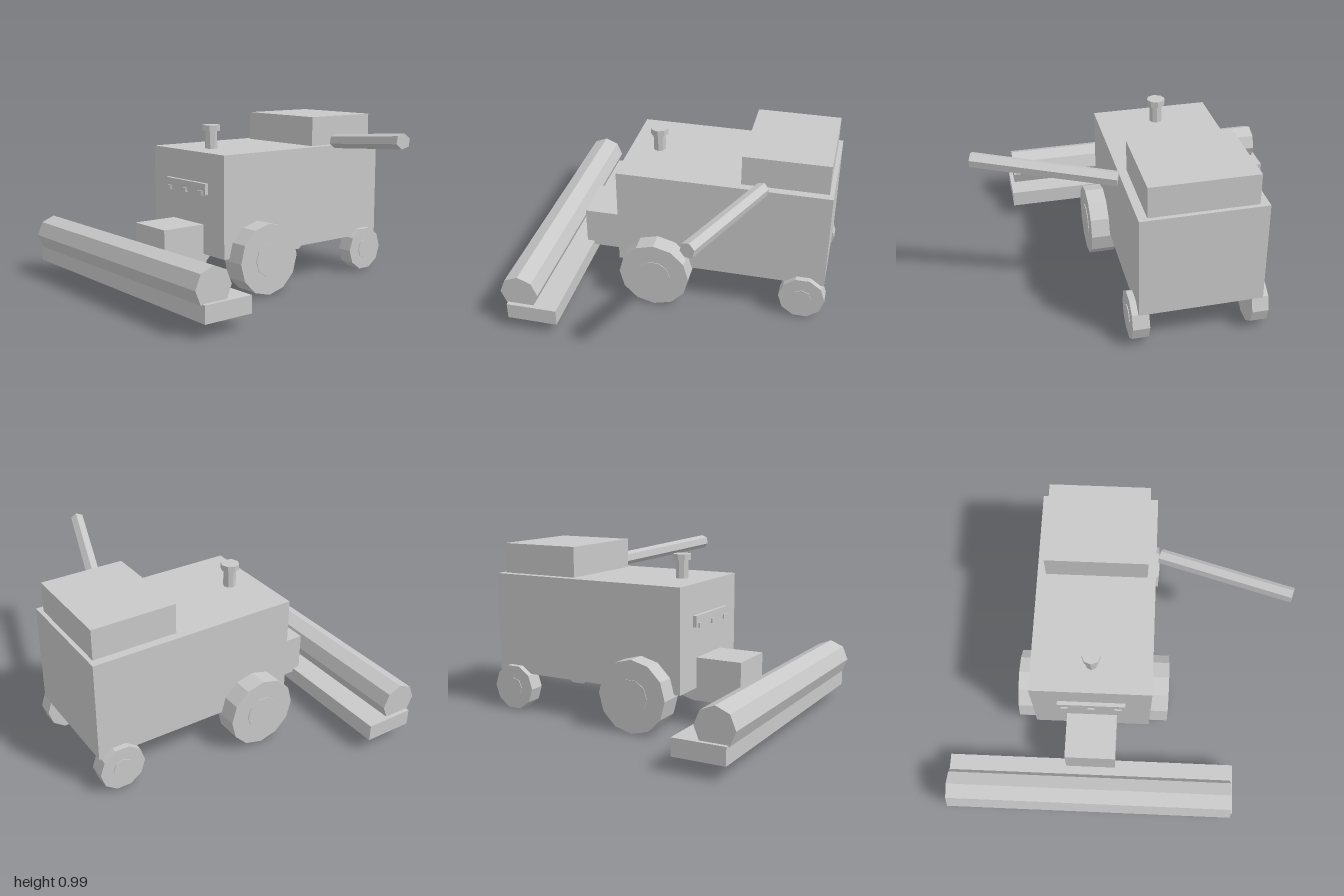
import * as THREE from 'three';

export function createModel() {
  const model = new THREE.Group();
  model.name = 'combineHarvester';
  const grey = new THREE.MeshStandardMaterial({ color: 0xc8c8c8 });
  grey.name = 'light grey';
  grey.flatShading = true;

  const add = (name, geometry, x = 0, y = 0, z = 0) => {
    const mesh = new THREE.Mesh(geometry, grey);
    mesh.name = name;
    mesh.position.set(x, y, z);
    model.add(mesh);
    return mesh;
  };

  // Box given by its limits on each axis
  const box = (name, [x0, x1], [y0, y1], [z0, z1]) =>
    add(name, new THREE.BoxGeometry(x1 - x0, y1 - y0, z1 - z0),
      (x0 + x1) / 2, (y0 + y1) / 2, (z0 + z1) / 2);

  // Faceted cylinder lying along x
  const roller = (name, radius, length, sides, x, y, z) =>
    add(name, new THREE.CylinderGeometry(radius, radius, length, sides).rotateZ(Math.PI / 2), x, y, z);

  const midX = -0.133;

  // Body and raised grain tank
  box('body', [-0.48, 0.214], [0.225, 0.82], [-0.895, 0.345]);
  box('grainTank', [-0.43, 0.165], [0.82, 0.997], [-0.87, -0.375]);

  // Exhaust pipe with cap
  add('exhaustPipe', new THREE.CylinderGeometry(0.037, 0.037, 0.11, 8), midX, 0.875, 0.172);
  add('exhaustCap', new THREE.CylinderGeometry(0.054, 0.054, 0.035, 8), midX, 0.943, 0.172);

  // Front light bar with three small lamps
  box('lightBar', [-0.33, 0.065], [0.58, 0.645], [0.34, 0.368]);
  for (const dx of [-0.157, 0, 0.157]) {
    box('lamp', [midX + dx - 0.02, midX + dx + 0.02], [0.577, 0.603], [0.36, 0.377]);
  }

  // Feeder, cutting table and reel
  box('feeder', [-0.284, 0.016], [0.152, 0.4], [0.325, 0.617]);
  box('cuttingTable', [-1, 0.735], [0.08, 0.177], [0.572, 0.868]);
  roller('reel', 0.112, 1.687, 8, midX, 0.25, 0.795);

  // Wheels and nearly flush hubs, mirrored about the body
  for (const side of [-1, 1]) {
    roller('frontWheel', 0.21, 0.15, 12, midX + side * 0.383, 0.212, 0.102);
    roller('frontHub', 0.1, 0.02, 10, midX + side * 0.452, 0.212, 0.102);
    roller('rearWheel', 0.136, 0.095, 10, midX + side * 0.335, 0.14, -0.772);
    roller('rearHub', 0.06, 0.02, 8, midX + side * 0.377, 0.14, -0.772);
  }

  // Slanted unloading spout
  const start = new THREE.Vector3(0.238, 0.848, -0.505);
  const end = new THREE.Vector3(0.988, 0.921, -0.253);
  const along = end.clone().sub(start);
  const spout = add('unloadingSpout', new THREE.CylinderGeometry(0.043, 0.043, along.length(), 6));
  spout.position.copy(start).add(end).multiplyScalar(0.5);
  spout.quaternion.setFromUnitVectors(new THREE.Vector3(0, 1, 0), along.normalize());

  return model;
}
